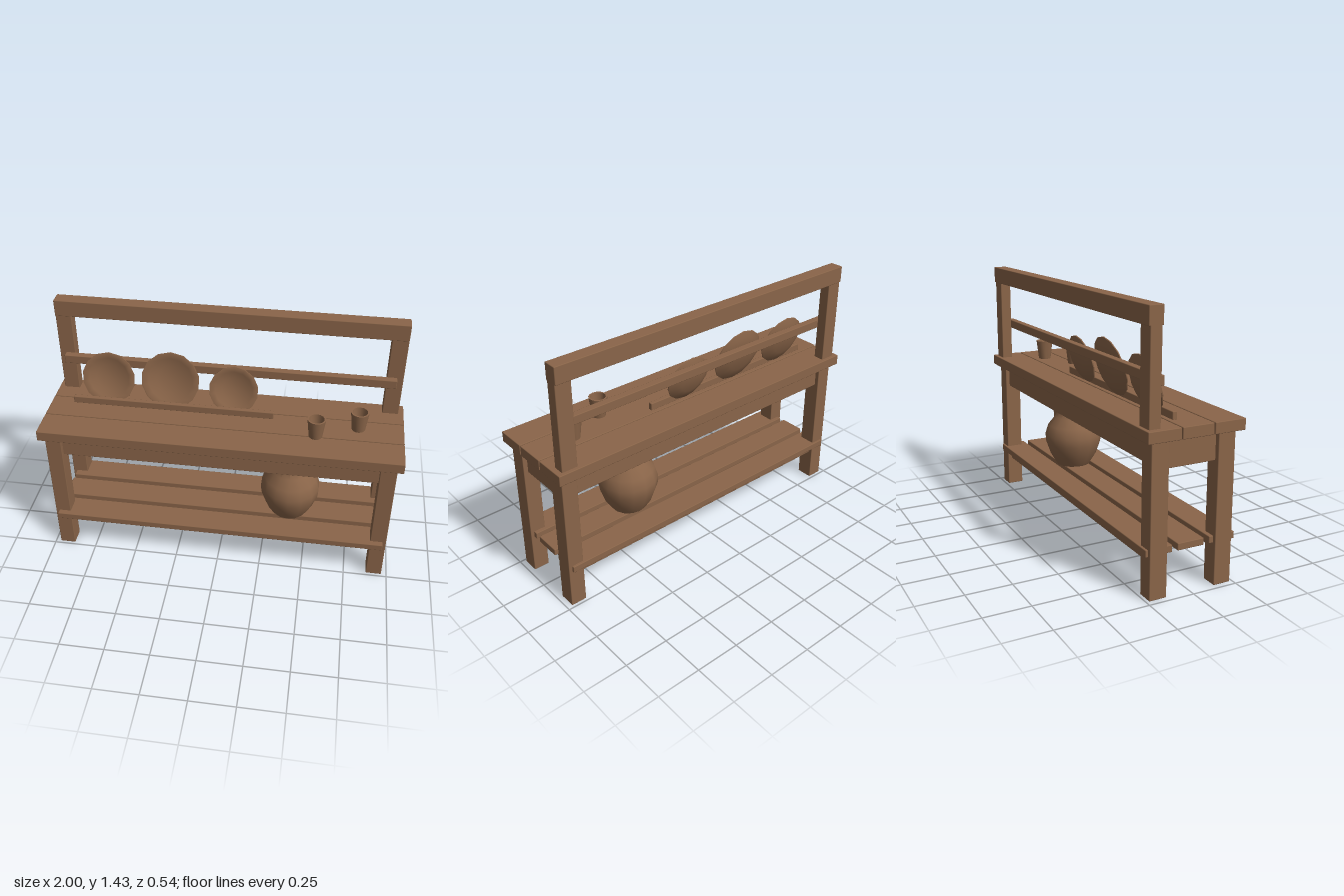
import * as THREE from 'three';
import { RoundedBoxGeometry } from 'three/addons/geometries/RoundedBoxGeometry.js';
import { toCreasedNormals } from 'three/addons/utils/BufferGeometryUtils.js';

export function createModel() {
  const root = new THREE.Group();
  root.name = 'sideboard';
  const brown = new THREE.MeshStandardMaterial({ color: 0x8a6549 });
  brown.name = 'brown wood';

  // Timber with slightly softened edges, given by its extents
  function timber(name, x0, x1, y0, y1, z0, z1) {
    const mesh = new THREE.Mesh(
      new RoundedBoxGeometry(x1 - x0, y1 - y0, z1 - z0, 1, 0.004), brown);
    mesh.position.set((x0 + x1) / 2, (y0 + y1) / 2, (z0 + z1) / 2);
    mesh.name = name;
    root.add(mesh);
  }

  // Turned piece from a radius/height profile
  function turned(name, profile, sides) {
    const points = profile.map(([r, y]) => new THREE.Vector2(r, y));
    const geometry = toCreasedNormals(new THREE.LatheGeometry(points, sides), 0.6);
    const mesh = new THREE.Mesh(geometry, brown);
    mesh.name = name;
    root.add(mesh);
    return mesh;
  }

  // Table top and lower shelf, three planks each
  [[0.095, 0.27], [-0.085, 0.09], [-0.27, -0.09]].forEach(([a, b]) =>
    timber('topPlank', -1, 1, 0.8, 0.86, a, b));
  [[0.115, 0.265], [-0.066, 0.085], [-0.247, -0.097]].forEach(([a, b]) =>
    timber('shelfPlank', -0.95, 0.95, 0.222, 0.26, a, b));

  // Legs, aprons and stretchers
  for (const s of [-1, 1]) {
    const xa = Math.min(s * 0.88, s * 0.97), xb = xa + 0.09;
    for (const t of [-1, 1]) {
      const za = Math.min(t * 0.138, t * 0.234);
      timber('leg', xa, xb, 0, 0.8, za, za + 0.096);
    }
    timber('sideApron', s * 0.925 - 0.02, s * 0.925 + 0.02, 0.65, 0.8, -0.14, 0.14);
    timber('longApron', -0.885, 0.885, 0.67, 0.8, s * 0.19 - 0.02, s * 0.19 + 0.02);
    timber('stretcher', -0.885, 0.885, 0.175, 0.225, s * 0.186 - 0.022, s * 0.186 + 0.022);
    timber('backPost', xa, xb, 0.855, 1.4, -0.25, -0.187);
  }

  // Rack behind the top
  timber('topRail', -0.97, 0.97, 1.335, 1.43, -0.258, -0.18);
  timber('plateRail', -0.935, 0.935, 1.05, 1.1, -0.19, -0.15);
  timber('plateLedge', -0.87, 0.277, 0.858, 0.9, -0.062, -0.036);

  // Plates leaning on the rail
  const tilt = 0.27;
  for (const [x, r] of [[-0.67, 0.152], [-0.315, 0.166], [0.045, 0.139]]) {
    const plate = turned('plate', [
      [0, -0.034], [0.5 * r, -0.034], [0.8 * r, -0.02], [r, -0.004], [r, 0.002],
      [0.96 * r, 0.003], [0.77 * r, -0.006], [0.5 * r, -0.022], [0, -0.024],
    ], 14);
    plate.rotation.x = Math.PI / 2 - tilt;
    plate.position.set(x, 0.858 + r * Math.cos(tilt), -0.055 - r * Math.sin(tilt));
  }

  // Cups
  for (const [x, z] of [[0.52, 0.083], [0.75, -0.015]]) {
    turned('cup', [
      [0, 0], [0.037, 0], [0.051, 0.115], [0.042, 0.115], [0.029, 0.015], [0, 0.015],
    ], 14).position.set(x, 0.859, z);
  }

  // Storage jar with lid and knob
  turned('jar', [
    [0, 0], [0.103, 0], [0.14, 0.06], [0.168, 0.14], [0.171, 0.19], [0.152, 0.25],
    [0.11, 0.3], [0.096, 0.325], [0.096, 0.355], [0.105, 0.368], [0.105, 0.376],
    [0.096, 0.382], [0, 0.382],
  ], 14).position.set(0.397, 0.26, 0.015);
  turned('jarLid', [
    [0, 0], [0.098, 0], [0.098, 0.009], [0.03, 0.016], [0.019, 0.022],
    [0.025, 0.034], [0.022, 0.046], [0, 0.05],
  ], 14).position.set(0.397, 0.64, 0.015);

  return root;
}
